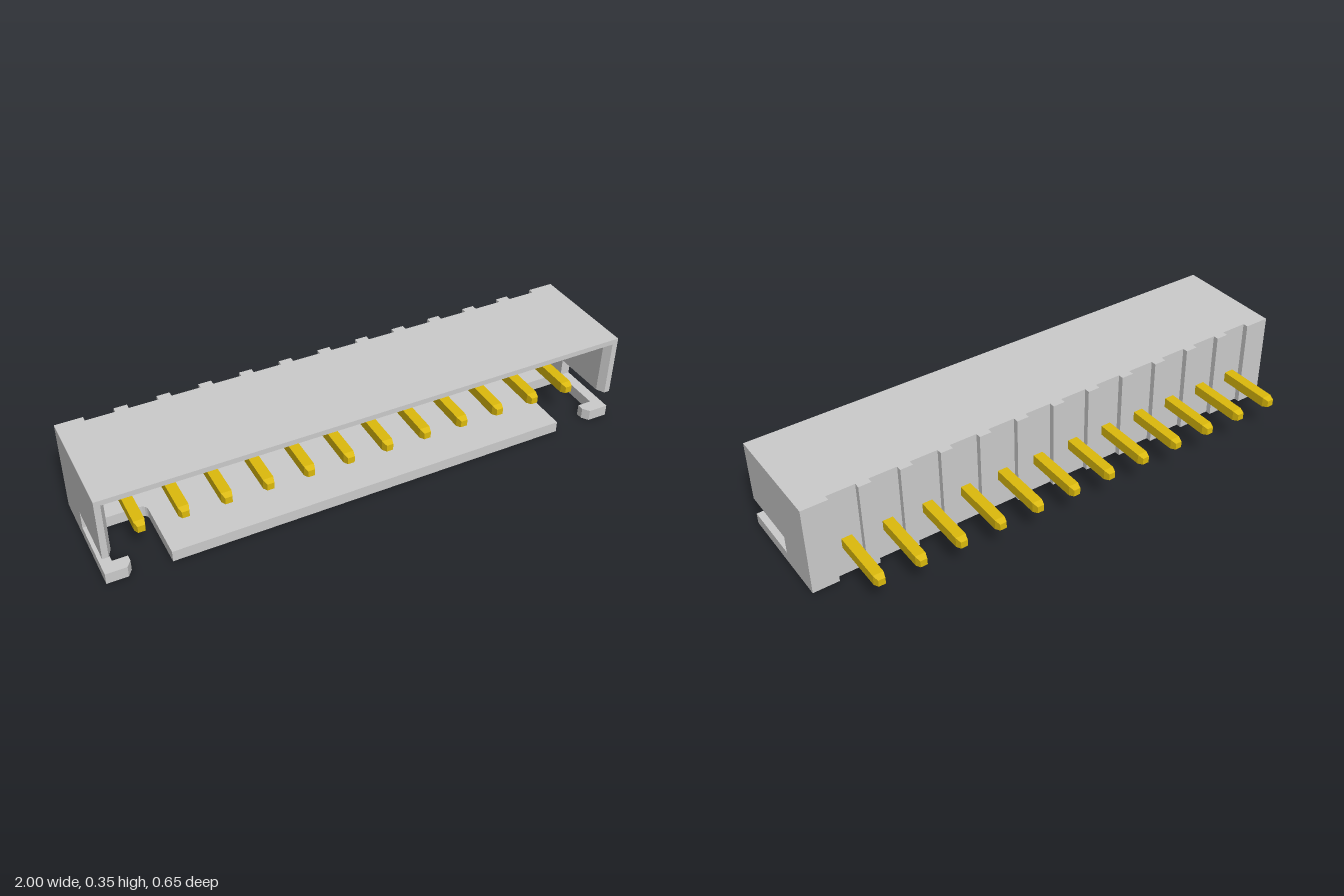
import * as THREE from 'three';

const FRONT = 0.323, BACK = -0.107, WALL = -0.01, SLOT = 0.077;
const HEIGHT = 0.354, FLOOR = 0.043, SLOT_TOP = 0.113;
const PINS = 12, PITCH = 0.154, PIN_Y = 0.136;

const plastic = new THREE.MeshStandardMaterial({ color: 0xcccccc, flatShading: true });
const metal = new THREE.MeshStandardMaterial({ color: 0xddbb0c, flatShading: true });

const pinX = (i) => (i - (PINS - 1) / 2) * PITCH;

// Extrudes a plan outline of [x, z] points from height y0 to y1
function plan(name, points, y0, y1) {
  const shape = new THREE.Shape(points.map(([x, z]) => new THREE.Vector2(x, -z)));
  const geo = new THREE.ExtrudeGeometry(shape, { depth: y1 - y0, bevelEnabled: false });
  geo.rotateX(-Math.PI / 2).translate(0, y0, 0);
  const mesh = new THREE.Mesh(geo, plastic);
  mesh.name = name;
  return mesh;
}

// Rounded inner corner, as a few points
function arc(cx, cz, r, a0, a1) {
  return [0, 1, 2, 3, 4].map((k) => {
    const a = a0 + ((a1 - a0) * k) / 4;
    return [cx + r * Math.cos(a), cz + r * Math.sin(a)];
  });
}

export function createModel() {
  const group = new THREE.Group();
  group.name = 'pinHeader';

  // Back wall with a shallow full-height groove behind every pin
  const back = [[1, WALL], [-1, WALL], [-1, BACK]];
  for (let i = 0; i < PINS; i++) {
    const l = pinX(i) - 0.053, r = pinX(i) + 0.053;
    back.push([l, BACK], [l, BACK + 0.021], [r, BACK + 0.021], [r, BACK]);
  }
  back.push([1, BACK]);
  group.add(plan('backWall', back, 0, HEIGHT));

  // Floor: central tongue, a gap on each side, and outer latch arms with hooked tips
  const gapEnd = 0.065, r = 0.025;
  const half = [
    [0, FRONT], [0.77, FRONT],
    ...arc(0.77 + r, gapEnd + r, r, Math.PI, Math.PI * 1.5),
    ...arc(0.96 - r, gapEnd + r, r, -Math.PI / 2, 0),
    [0.96, FRONT - 0.05], [0.905, FRONT - 0.05], [0.905, FRONT - 0.025],
    [0.923, FRONT], [1, FRONT], [1, WALL],
  ];
  const mirrored = half.slice(1).reverse().map(([x, z]) => [-x, z]);
  group.add(plan('floorAndLatchArms', [...half, ...mirrored], 0, FLOOR));

  // Side walls, slotted below and chamfered at the mouth
  for (const s of [-1, 1]) {
    const side = s > 0 ? 'left' : 'right';
    const upper = [[1, WALL], [1, FRONT], [0.978, FRONT], [0.962, FRONT - 0.03], [0.962, WALL]];
    const lower = [[1, WALL], [1, SLOT], [0.962, SLOT], [0.962, WALL]];
    const flip = (pts) => pts.map(([x, z]) => [s * x, z]);
    group.add(plan(side + 'Wall', flip(upper), SLOT_TOP, HEIGHT));
    group.add(plan(side + 'WallFoot', flip(lower), FLOOR, SLOT_TOP));
  }

  // Top wall, with the same chamfer along its front inner edge
  const profile = new THREE.Shape([
    [-WALL, 0.316], [-WALL, HEIGHT], [-FRONT, HEIGHT], [-FRONT, 0.334], [-FRONT + 0.03, 0.316],
  ].map(([x, y]) => new THREE.Vector2(x, y)));
  const topGeo = new THREE.ExtrudeGeometry(profile, { depth: 2, bevelEnabled: false });
  topGeo.rotateY(Math.PI / 2).translate(-1, 0, 0);
  const top = new THREE.Mesh(topGeo, plastic);
  top.name = 'topWall';
  group.add(top);

  // Square pins with tapered ends
  const wide = 0.0195 * Math.SQRT2, tip = 0.013 * Math.SQRT2;
  const pinGeo = new THREE.LatheGeometry([
    [0, -0.323], [tip, -0.323], [wide, -0.3], [wide, 0.247], [tip, 0.27], [0, 0.27],
  ].map(([x, y]) => new THREE.Vector2(x, y)), 4, Math.PI / 4);
  pinGeo.rotateX(Math.PI / 2);
  const pins = new THREE.Group();
  pins.name = 'pins';
  for (let i = 0; i < PINS; i++) {
    const pin = new THREE.Mesh(pinGeo, metal);
    pin.name = 'pin';
    pin.position.set(pinX(i), PIN_Y, 0);
    pins.add(pin);
  }
  group.add(pins);
  return group;
}
